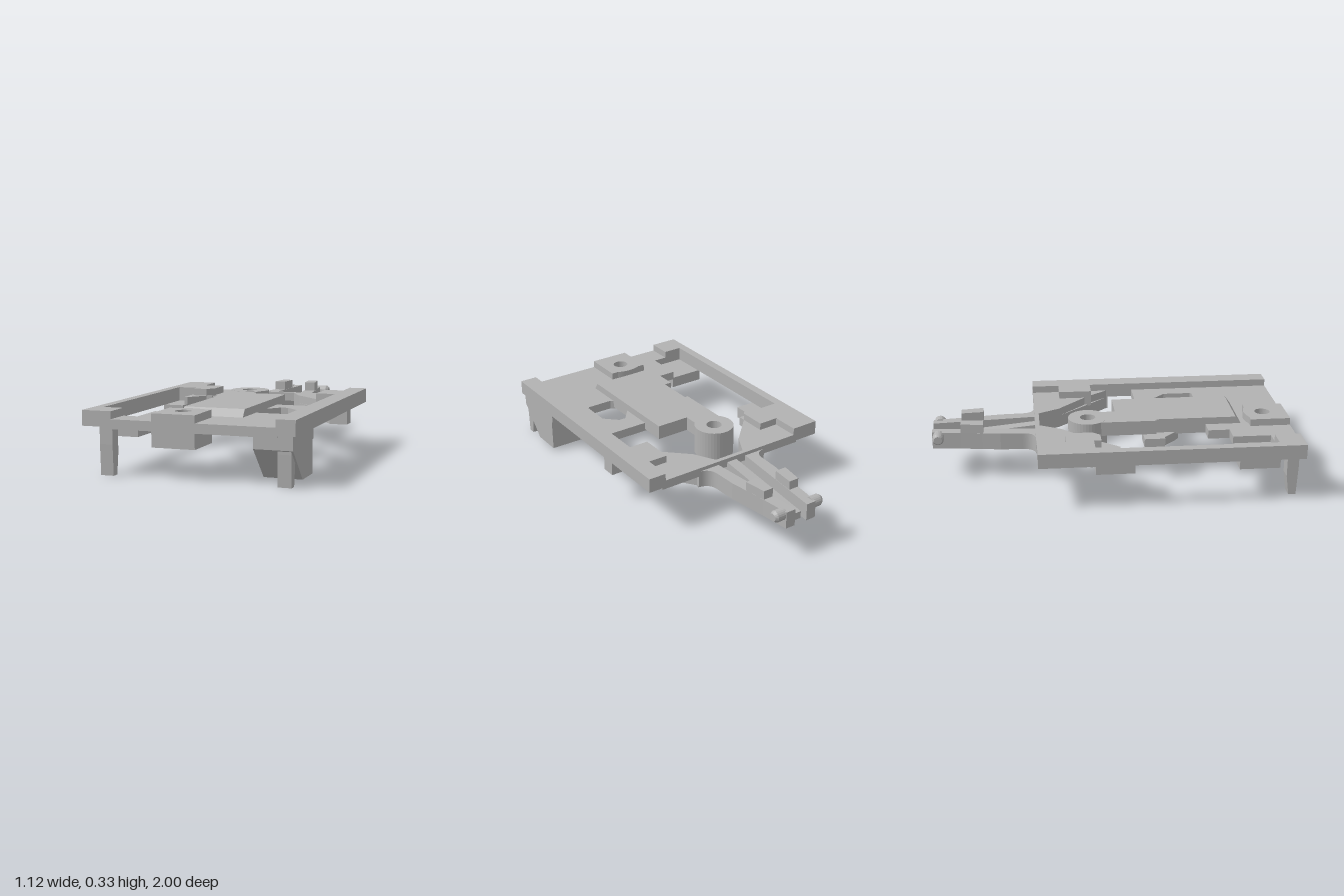
import * as THREE from 'three';

const grey = new THREE.MeshStandardMaterial({ color: 0xb2b2b2 });
grey.name = 'plain grey';

export function createModel() {
  const model = new THREE.Group();
  model.name = 'chassisFrame';

  const add = (name, geometry) => {
    const mesh = new THREE.Mesh(geometry, grey);
    mesh.name = name;
    model.add(mesh);
    return mesh;
  };
  const box = (name, x0, x1, y0, y1, z0, z1) => {
    const g = new THREE.BoxGeometry(x1 - x0, y1 - y0, z1 - z0);
    g.translate((x0 + x1) / 2, (y0 + y1) / 2, (z0 + z1) / 2);
    return add(name, g);
  };
  const outline = (pts) => new THREE.Shape(pts.map(([x, z]) => new THREE.Vector2(x, -z)));
  // Plan outline in x,z raised from y0 to y1
  const plate = (name, shape, y0, y1) => {
    const s = Array.isArray(shape) ? outline(shape) : shape;
    const g = new THREE.ExtrudeGeometry(s, { depth: y1 - y0, bevelEnabled: false, curveSegments: 20 });
    g.rotateX(-Math.PI / 2);
    g.translate(0, y0, 0);
    return add(name, g);
  };
  // Side outline in z,y extended from x0 to x1
  const sideProfile = (name, pts, x0, x1) => {
    const s = new THREE.Shape(pts.map(([z, y]) => new THREE.Vector2(z, y)));
    const g = new THREE.ExtrudeGeometry(s, { depth: x1 - x0, bevelEnabled: false });
    g.rotateY(-Math.PI / 2);
    g.translate(x1, 0, 0);
    return add(name, g);
  };
  const roundHole = (shape, x, z, r) => {
    shape.holes.push(new THREE.Path().absarc(x, -z, r, 0, Math.PI * 2, true));
    return shape;
  };

  // Raised side rails with their stepped corners
  plate('rightRail', [[-0.56, 1], [-0.4, 1], [-0.4, 0.86], [-0.51, 0.86], [-0.51, -0.12],
    [-0.4, -0.12], [-0.4, -0.08], [-0.32, -0.08], [-0.285, -0.12], [-0.285, -0.27],
    [-0.4, -0.27], [-0.4, -0.425], [-0.56, -0.425]], 0.25, 0.33);
  plate('leftRail', [[0.56, 1], [0.56, -0.425], [0.46, -0.425], [0.46, -0.27],
    [0.35, -0.27], [0.35, -0.08], [0.46, -0.08], [0.46, 1]], 0.25, 0.33);

  // Front deck with its cut window
  const deck = outline([[-0.42, 1], [0.47, 1], [0.47, 0.175], [-0.13, 0.175], [-0.13, 0.53],
    [-0.22, 0.53], [-0.22, 0.65], [-0.32, 0.65], [-0.32, 0.86], [-0.42, 0.86]]);
  deck.holes.push(outline([[0.18, 0.39], [0.26, 0.29], [0.3, 0.29], [0.37, 0.36],
    [0.37, 0.52], [0.36, 0.53], [0.215, 0.53], [0.18, 0.5]]));
  plate('deck', deck, 0.24, 0.29);
  plate('sideTab', [[-0.22, 0.175], [-0.1, 0.175], [-0.1, 0.38], [-0.13, 0.36],
    [-0.2, 0.29], [-0.22, 0.29]], 0.2, 0.25);

  // Sunken pads inside the right rail
  box('frontPad', -0.52, -0.315, 0.185, 0.25, 0.65, 0.87);
  box('rearPad', -0.52, -0.4, 0.185, 0.25, -0.12, 0.09);

  // Front mounting boss with a bulged rear edge and a hole
  const boss = new THREE.Shape();
  boss.moveTo(-0.18, -1);
  boss.lineTo(0.05, -1);
  boss.lineTo(0.05, -0.775);
  boss.lineTo(0.01, -0.775);
  boss.quadraticCurveTo(-0.065, -0.74, -0.14, -0.775);
  boss.lineTo(-0.18, -0.775);
  boss.closePath();
  plate('frontBoss', roundHole(boss, -0.065, 0.865, 0.043), 0.16, 0.33);

  // Raised central plank and its neck
  sideProfile('plank', [[0.03, 0.25], [0.73, 0.25], [0.73, 0.29], [0.7, 0.33], [0.03, 0.33]], -0.13, 0.2);
  plate('neck', [[-0.15, -0.08], [0.01, -0.08], [0.01, 0.04], [-0.12, 0.04],
    [-0.12, 0.25], [-0.15, 0.25]], 0.25, 0.33);
  const pivot = new THREE.Shape().absarc(-0.065, 0.13, 0.11, 0, Math.PI * 2, false);
  plate('pivot', roundHole(pivot, -0.065, -0.13, 0.043), 0.165, 0.331);

  // Rear cross plate and the diagonal braces below it
  plate('rearPlate', [[-0.42, -0.425], [0.48, -0.425], [0.48, 0.02], [0.46, 0.02], [0.385, -0.08],
    [0.35, -0.08], [0.35, -0.12], [0.185, -0.28], [0.12, -0.4], [-0.06, -0.4], [-0.125, -0.28],
    [-0.285, -0.12], [-0.285, -0.08], [-0.32, -0.08], [-0.4, 0.02], [-0.42, 0.02]], 0.24, 0.29);
  for (const s of [-1, 1]) {
    const m = (x) => 0.03 + s * x;
    const pts = [[m(0.09), -0.4], [m(0.155), -0.28], [m(0.32), -0.1], [m(0.43), 0.02],
      [m(0.43), -0.14], [m(0.3), -0.28], [m(0.2), -0.425], [m(0.09), -0.425]];
    plate('diagonalBrace', pts, 0.175, 0.245);
  }
  box('railStop', 0.46, 0.56, 0.175, 0.25, -0.05, 0.03);

  // Rear fork: two tapering arms, raised lugs and side pins
  for (const s of [-1, 1]) {
    const m = (x) => 0.03 + s * x;
    const arm = new THREE.Shape();
    arm.moveTo(m(0.09), 0.4);
    arm.lineTo(m(0.22), 0.41);
    arm.lineTo(m(0.22), 0.425);
    arm.quadraticCurveTo(m(0.152), 0.43, m(0.15), 0.5);
    arm.lineTo(m(0.145), 0.62);
    arm.lineTo(m(0.13), 0.72);
    arm.lineTo(m(0.113), 0.84);
    arm.lineTo(m(0.095), 1);
    arm.lineTo(m(0.038), 1);
    arm.lineTo(m(0.09), 0.425);
    arm.closePath();
    plate('forkArm', arm, 0.175, 0.27);
    plate('armLug', [[m(0.13), -0.715], [m(0.112), -0.84], [m(0.055), -0.84], [m(0.065), -0.715]], 0.265, 0.32);

    const profile = [[0, 0], [0.032, 0], [0.032, 0.055], [0.022, 0.07], [0, 0.07]];
    const pin = new THREE.LatheGeometry(profile.map(([r, y]) => new THREE.Vector2(r, y)), 20).toNonIndexed();
    pin.computeVertexNormals();
    pin.rotateZ(-s * Math.PI / 2);
    pin.translate(m(0.085), 0.245, -0.965);
    add('forkPin', pin);
  }
  sideProfile('centreTongue', [[-0.4, 0.175], [-0.4, 0.27], [-0.965, 0.215], [-0.965, 0.175]], 0, 0.062);

  // Sloped block under the front left corner
  sideProfile('slopedBlock', [[0.99, 0.25], [0.99, 0.18], [0.83, 0.015], [0.66, 0.015],
    [0.66, 0.19], [0.65, 0.19], [0.65, 0.25]], 0.345, 0.545);

  // Tapered front legs
  for (const x of [-0.47, 0.465]) {
    sideProfile('frontLeg', [[0.985, 0.26], [0.985, 0.16], [0.978, 0], [0.938, 0], [0.922, 0.11],
      [0.922, 0.26]], x, x + 0.07);
  }
  return model;
}
